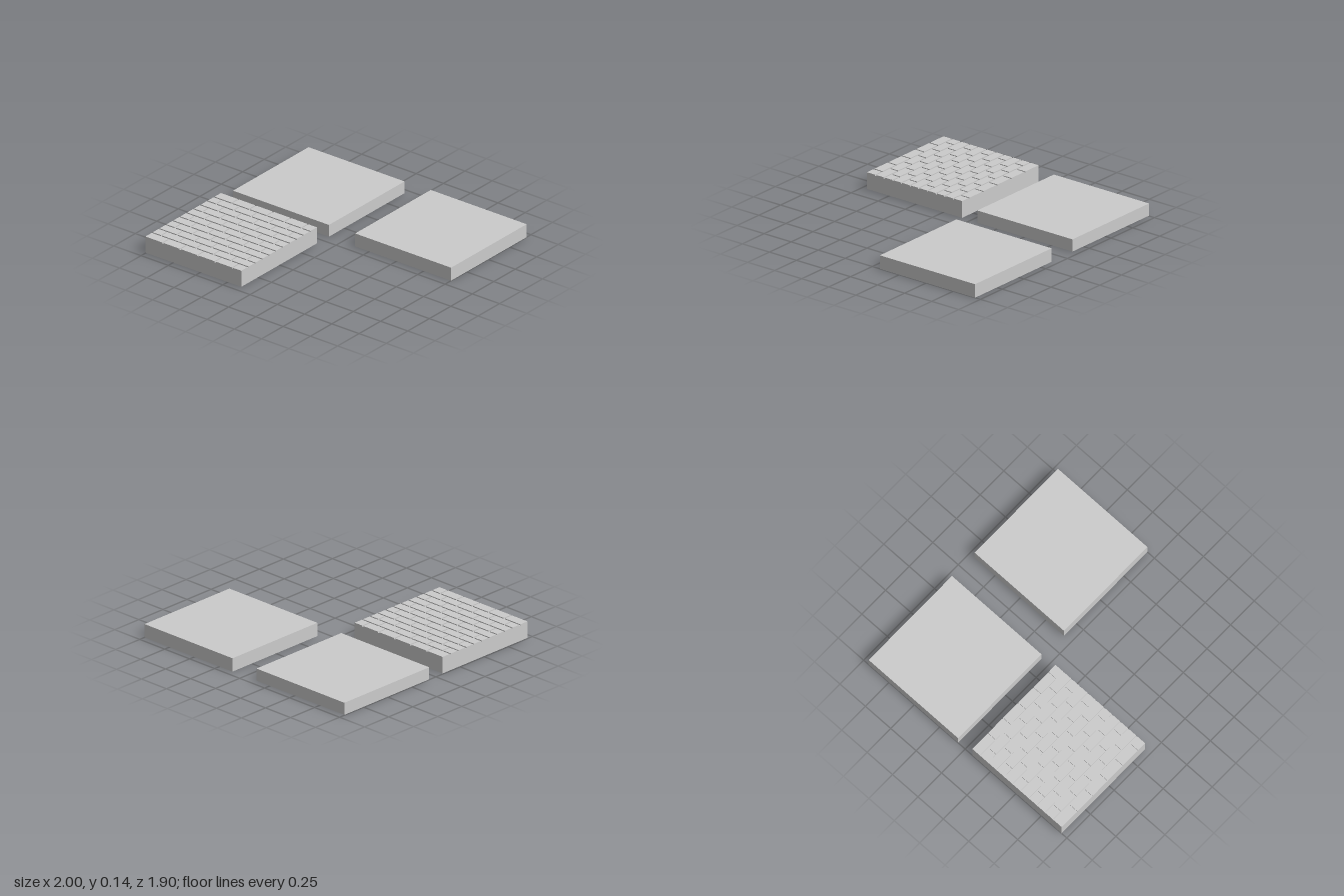
import * as THREE from 'three';

const material = new THREE.MeshStandardMaterial({ color: 0xcccccc, flatShading: true });

// Box placed by its minimum and maximum corners
function block(name, [x0, y0, z0], [x1, y1, z1]) {
  const mesh = new THREE.Mesh(new THREE.BoxGeometry(x1 - x0, y1 - y0, z1 - z0), material);
  mesh.position.set((x0 + x1) / 2, (y0 + y1) / 2, (z0 + z1) / 2);
  mesh.name = name;
  return mesh;
}

// Square slab paved with bricks in running bond, separated by shallow joints
function pavedSlab(x0, x1, z0, z1) {
  const group = new THREE.Group();
  group.name = 'pavedSlab';
  const bottom = 0.005, bed = 0.127, top = 0.135;
  group.add(block('mortarBed', [x0, bottom, z0], [x1, bed, z1]));

  const rows = 11, length = (x1 - x0) / 5.5, depth = (z1 - z0) / rows, joint = 0.006;
  const bricks = new THREE.Group();
  bricks.name = 'bricks';
  for (let row = 0; row < rows; row++) {
    const shift = row % 2 ? -length / 2 : 0;
    const back = z0 + row * depth + (row > 0 ? joint : 0);
    const front = z0 + (row + 1) * depth - (row < rows - 1 ? joint : 0);
    for (let i = 0; i < 6; i++) {
      // Bricks at the ends of a row are cut flush with the slab
      const start = x0 + shift + i * length;
      const left = start <= x0 + 1e-6 ? x0 : start + joint;
      const right = start + length >= x1 - 1e-6 ? x1 : start + length - joint;
      bricks.add(block('brick', [left, bed, back], [right, top, front]));
    }
  }
  group.add(bricks);
  return group;
}

export function createModel() {
  const model = new THREE.Group();
  model.name = 'floorTiles';
  model.add(pavedSlab(-1, -0.12, 0.07, 0.95));
  // Plain slabs along the back
  model.add(block('backRightSlab', [-1, 0.003, -0.95], [-0.12, 0.098, -0.07]));
  model.add(block('backLeftSlab', [0.12, 0, -0.95], [1, 0.105, -0.07]));
  return model;
}
